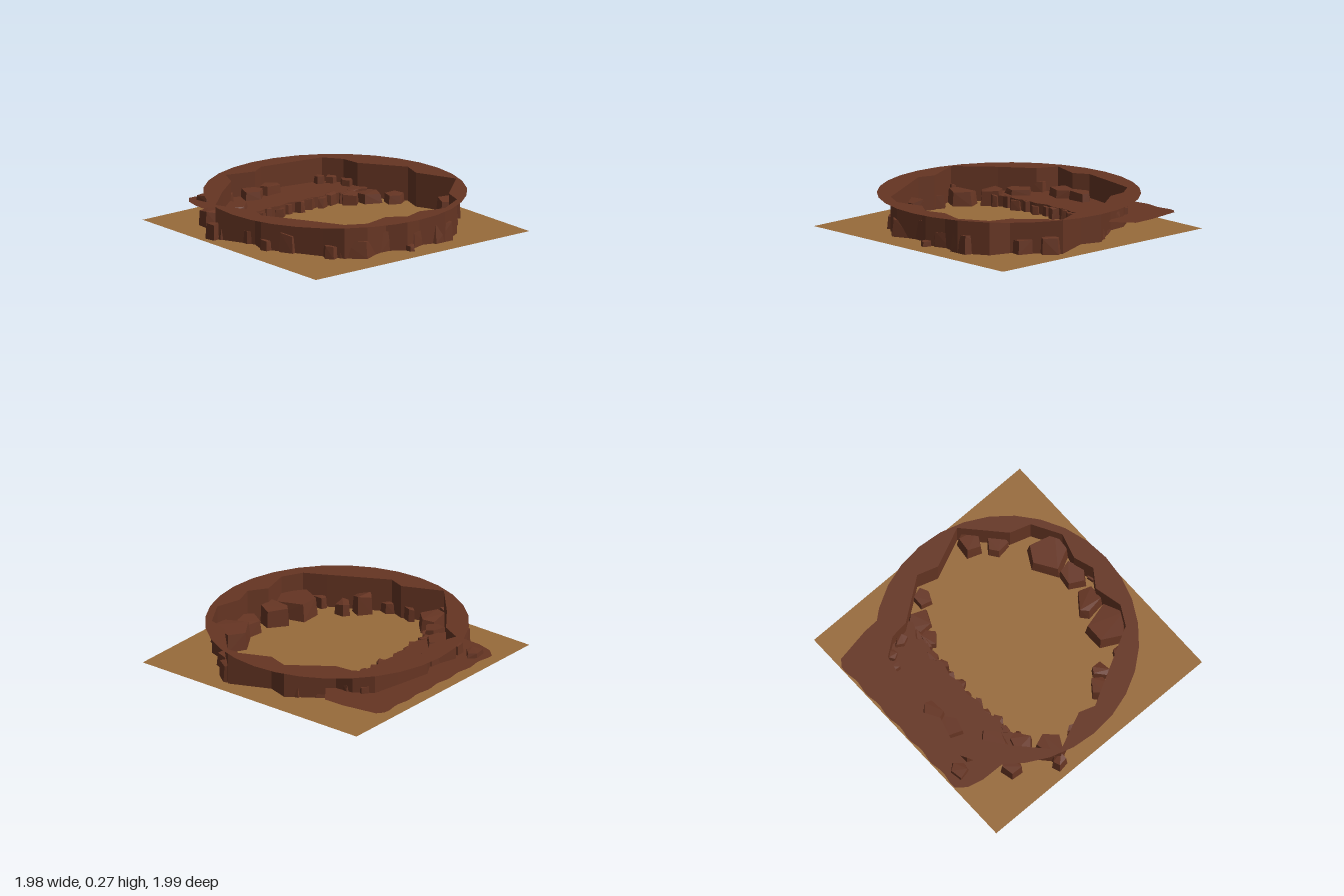
import * as THREE from 'three';
import { ConvexGeometry } from 'three/addons/geometries/ConvexGeometry.js';

const GROUND = 0.015, SHELF = 0.095, RIM = 0.27;

const sand = new THREE.MeshStandardMaterial({ name: 'sand', color: 0x986b3b, side: THREE.DoubleSide });
const rock = new THREE.MeshStandardMaterial({ name: 'redRock', color: 0x663523, side: THREE.DoubleSide });

let seed = 7;
const random = () => (seed = (seed * 16807) % 2147483647) / 2147483647;

const flip = ([x, z]) => new THREE.Vector2(x, -z);

// flat horizontal sheet from an [x, z] outline with optional holes
function sheet(name, outline, y, holes = []) {
  const shape = new THREE.Shape(outline.map(flip));
  shape.holes = holes.map((hole) => new THREE.Path(hole.map(flip)));
  const mesh = new THREE.Mesh(new THREE.ShapeGeometry(shape).rotateX(-Math.PI / 2), rock);
  mesh.position.y = y;
  mesh.name = name;
  return mesh;
}

// upright faceted sheet along an [x, z] path
function cliff(name, path, y0, y1) {
  const pos = [];
  for (let i = 0; i < path.length - 1; i++) {
    const [ax, az] = path[i], [bx, bz] = path[i + 1];
    pos.push(ax, y0, az, bx, y0, bz, bx, y1, bz, ax, y0, az, bx, y1, bz, ax, y1, az);
  }
  const geo = new THREE.BufferGeometry();
  geo.setAttribute('position', new THREE.Float32BufferAttribute(pos, 3));
  geo.computeVertexNormals();
  const mesh = new THREE.Mesh(geo, rock);
  mesh.name = name;
  return mesh;
}

// angular boulder: hull of a ragged five-sided base and a smaller, uneven top
function boulder(name, x, z, rx, rz, h, y) {
  const pts = [];
  const turn = random() * 6.28;
  for (let i = 0; i < 5; i++) {
    const a = turn + (i + 0.5 * random()) * 1.2566;
    const dx = rx * Math.cos(a), dz = rz * Math.sin(a);
    const k = 0.82 + 0.14 * random();
    pts.push(new THREE.Vector3(x + dx, y, z + dz));
    pts.push(new THREE.Vector3(x + dx * k, y + h * (0.82 + 0.18 * random()), z + dz * k));
  }
  const mesh = new THREE.Mesh(new ConvexGeometry(pts), rock);
  mesh.name = name;
  return mesh;
}

export function createModel() {
  const model = new THREE.Group();
  model.name = 'crater';

  // ground sheet
  const ground = new THREE.Mesh(new THREE.PlaneGeometry(1.98, 1.98).rotateX(-Math.PI / 2), sand);
  ground.position.set(0, GROUND, 0.01);
  ground.name = 'ground';
  model.add(ground);

  // flat round rim with a ragged opening, and the cliff hanging from that opening
  const circle = Array.from({ length: 32 }, (_, i) => {
    const a = (i / 32) * Math.PI * 2;
    return [0.953 * Math.cos(a), 0.953 * Math.sin(a)];
  });
  const opening = [
    [0, 0.83], [0.15, 0.78], [0.34, 0.835], [0.55, 0.715], [0.6, 0.56], [0.88, 0.3],
    [0.75, 0], [0.8, -0.155], [0.58, -0.46], [0.565, -0.6], [0.47, -0.73], [0.26, -0.77],
    [-0.02, -0.82], [-0.13, -0.755], [-0.35, -0.82], [-0.42, -0.67], [-0.64, -0.5], [-0.89, -0.27],
    [-0.76, 0.02], [-0.8, 0.14], [-0.57, 0.56], [-0.49, 0.71], [-0.34, 0.79], [-0.13, 0.74],
  ];
  model.add(sheet('rim', circle, RIM, [opening]));
  model.add(cliff('craterWall', [...opening, opening[0]], GROUND, RIM));

  // low shelf across the back: ragged front lip, wavy far edge
  const lip = Array.from({ length: 14 }, (_, i) => [
    -0.65 + i * 0.096,
    -0.44 + 0.14 * (-0.65 + i * 0.096) ** 2 + (i % 2 ? 0.015 : -0.01),
  ]);
  const back = Array.from({ length: 31 }, (_, i) => {
    const x = 0.68 - i * 0.041;
    return [x, -0.985 + 0.008 * Math.sin(x * 27)];
  });
  const shelfEdge = [
    ...lip, [0.78, -0.52], [0.775, -0.68], [0.73, -0.95],
    ...back, [-0.61, -0.92], [-0.64, -0.8],
  ];
  model.add(sheet('shelf', shelfEdge, SHELF));
  model.add(cliff('shelfFront', lip, GROUND, SHELF));

  // boulders on the ground: x, z, half width, half depth, height
  const groundRocks = [
    [-0.34, 0.66, 0.17, 0.16, 0.14], [-0.12, 0.67, 0.1, 0.11, 0.15],
    [0.11, 0.73, 0.12, 0.09, 0.11], [0.34, 0.7, 0.17, 0.15, 0.15],
    [0.65, 0.48, 0.08, 0.09, 0.11], [0.78, 0.34, 0.1, 0.1, 0.14],
    [-0.67, 0.3, 0.08, 0.08, 0.15], [-0.57, 0.4, 0.07, 0.07, 0.09],
    [-0.55, 0.61, 0.05, 0.07, 0.1], [-0.78, 0.16, 0.04, 0.06, 0.08],
    [-0.77, -0.05, 0.03, 0.05, 0.1], [-0.77, -0.26, 0.12, 0.11, 0.11],
    [-0.61, -0.4, 0.09, 0.09, 0.12], [-0.9, -0.29, 0.05, 0.06, 0.13],
    [-0.69, -0.57, 0.09, 0.08, 0.12], [0.58, -0.33, 0.09, 0.12, 0.07],
    [0.7, -0.19, 0.08, 0.07, 0.07], [0.02, 0.84, 0.04, 0.04, 0.04],
  ];
  for (const r of groundRocks) model.add(boulder('boulder', ...r, GROUND));

  // one sunken boulder, reaching just under the ground
  model.add(boulder('sunkenBoulder', 0.43, -0.36, 0.07, 0.07, 0.1, 0));

  // rocks lying on the shelf
  const shelfRocks = [
    [-0.2, -0.71, 0.1, 0.08, 0.07], [-0.02, -0.73, 0.09, 0.08, 0.07],
    [-0.48, -0.56, 0.12, 0.1, 0.04], [-0.43, -0.73, 0.06, 0.08, 0.08],
    [-0.48, -0.88, 0.08, 0.06, 0.04], [0.42, -0.7, 0.04, 0.04, 0.06],
    [0.5, -0.66, 0.045, 0.04, 0.05], [0.54, -0.54, 0.04, 0.06, 0.05],
  ];
  for (const r of shelfRocks) model.add(boulder('shelfRock', ...r, SHELF));

  // rubble along the shelf front
  for (const [x, z] of lip.slice(1, -1)) {
    const r = 0.025 + 0.02 * random();
    model.add(boulder('rubble', x, z, r * 1.3, r, 0.06 + 0.035 * random(), GROUND));
  }
  return model;
}
